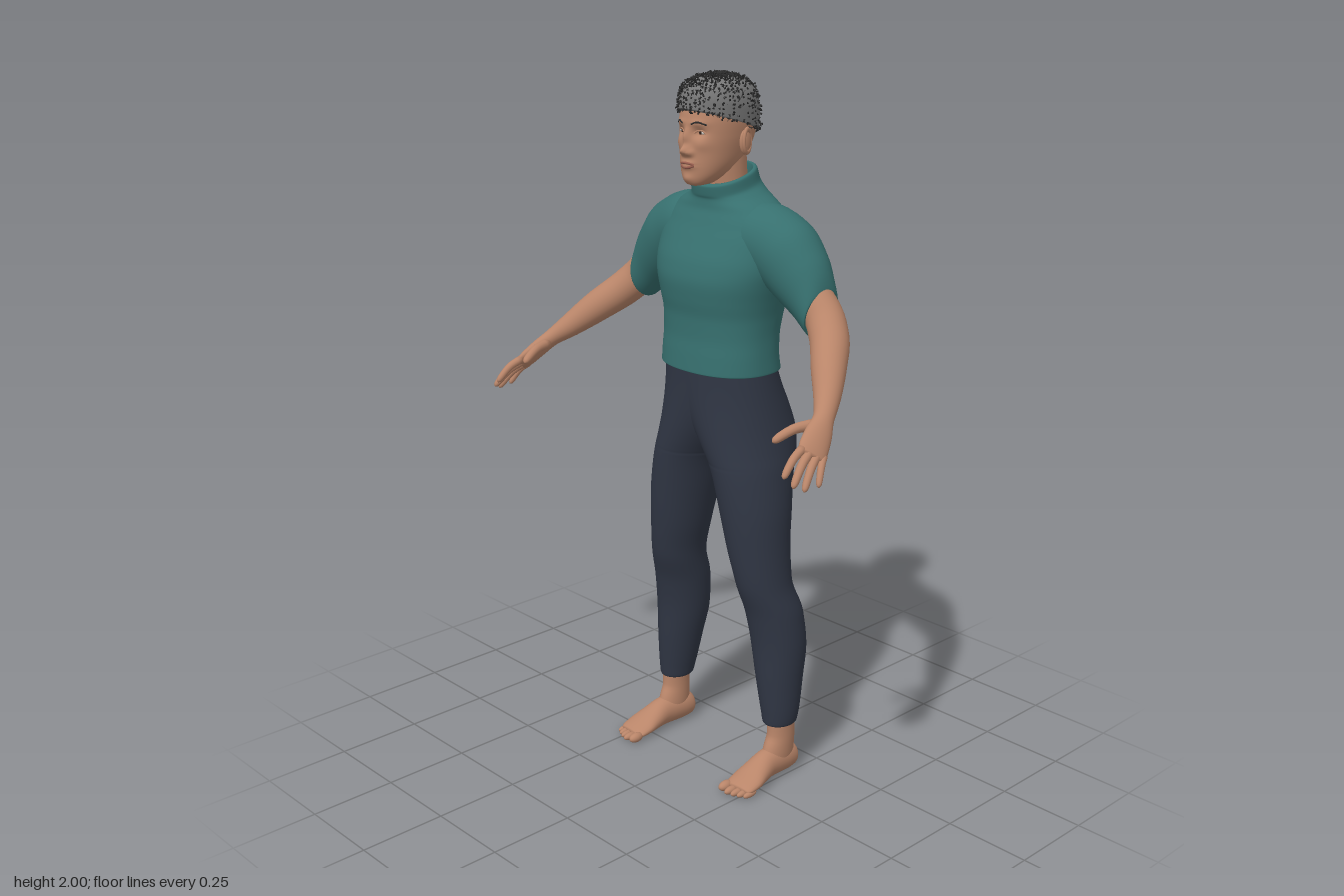
import * as THREE from 'three';
import { mergeGeometries, mergeVertices } from 'three/addons/utils/BufferGeometryUtils.js';

const V = (x, y, z) => new THREE.Vector3(x, y, z);
const paint = (name, color, side = THREE.FrontSide) => {
  const m = new THREE.MeshStandardMaterial({ color, side });
  m.name = name;
  return m;
};

// Smooth rows of numbers without overshoot, n steps per segment
function smooth(rows, n) {
  const slope = (i, k) => {
    if (i === 0 || i === rows.length - 1) return i ? rows[i][k] - rows[i - 1][k] : rows[1][k] - rows[0][k];
    const a = rows[i][k] - rows[i - 1][k], b = rows[i + 1][k] - rows[i][k];
    return a * b > 0 ? 2 * a * b / (a + b) : 0;
  };
  const out = [];
  for (let i = 0; i < rows.length - 1; i++) {
    for (let s = 0; s < n; s++) {
      const t = s / n, t2 = t * t, t3 = t2 * t;
      out.push(rows[i].map((p, k) => (2 * t3 - 3 * t2 + 1) * p + (t3 - 2 * t2 + t) * slope(i, k)
        + (3 * t2 - 2 * t3) * rows[i + 1][k] + (t3 - t2) * slope(i + 1, k)));
    }
  }
  out.push(rows[rows.length - 1]);
  return out;
}

// Weld and smooth a surface
function weld(g) {
  g = mergeVertices(g, 1e-5);
  g.computeVertexNormals();
  return g;
}

// Skin a list of rings, optionally closing both ends
function skinRings(rings, cap = false) {
  if (cap) {
    const mid = (r) => {
      const c = r.slice(0, -1).reduce((s, p) => s.add(p), V(0, 0, 0)).divideScalar(r.length - 1);
      return r.map(() => c);
    };
    rings = [mid(rings[0]), ...rings, mid(rings[rings.length - 1])];
  }
  const w = rings[0].length, index = [];
  for (let r = 0; r < rings.length - 1; r++) {
    for (let j = 0; j < w - 1; j++) {
      const a = r * w + j, b = a + w;
      index.push(a, b, a + 1, b, b + 1, a + 1);
    }
  }
  const g = new THREE.BufferGeometry().setFromPoints(rings.flat());
  g.setIndex(index);
  return weld(g);
}

// Level rings from the bottom up: [y, outer x, inner x, front z, back z, tilt]; half stops at x = 0
function loft(rows, { sides = 48, steps = 5, power = 1, half = false, cap = false } = {}) {
  const pw = (v) => Math.sign(v) * Math.abs(v) ** power;
  return skinRings(smooth(rows, steps).map(([y, xo, xi, zf, zb, tilt = 0]) => {
    const cx = (xo + xi) / 2, hw = (xo - xi) / 2, cz = (zf + zb) / 2, hz = (zf - zb) / 2;
    const end = half ? Math.acos(Math.max(-1, -cx / hw)) : Math.PI;
    return Array.from({ length: sides + 1 }, (_, j) => {
      const t = end * (2 * j / sides - 1), dz = hz * pw(Math.sin(t));
      const x = cx + hw * pw(Math.cos(t));
      return V(half && Math.abs(x) < 1e-6 ? 0 : x, y + tilt * dz, cz + dz);
    });
  }), cap);
}
const even = (rows) => rows.map(([y, w, ...rest]) => [y, w, -w, ...rest]);

// Tapering limb: [x, y, z, radius along the side vector, other radius]
function limb(rows, side = V(1, 0, 0), sides = 20, steps = 4) {
  const pts = smooth(rows, steps), at = (i) => V(...pts[Math.min(Math.max(i, 0), pts.length - 1)].slice(0, 3));
  return skinRings(pts.map((p, i) => {
    const t = at(i + 1).sub(at(i - 1)).normalize();
    const u = side.clone().addScaledVector(t, -t.dot(side)).normalize(), v = u.clone().cross(t);
    return Array.from({ length: sides + 1 }, (_, j) => {
      const f = 2 * Math.PI * j / sides;
      return at(i).addScaledVector(u, p[3] * Math.cos(f)).addScaledVector(v, p[4] * Math.sin(f));
    });
  }), true);
}

function mirror(g) {
  const m = g.clone().scale(-1, 1, 1), a = m.index.array;
  for (let i = 0; i < a.length; i += 3) [a[i], a[i + 1]] = [a[i + 1], a[i]];
  m.computeVertexNormals();
  return m;
}

function deform(g, rule) {
  const p = g.attributes.position;
  for (let i = 0; i < p.count; i++) p.setZ(i, rule(p.getX(i), p.getY(i), p.getZ(i)));
  g.computeVertexNormals();
  return g;
}
const bell = (x, y, sx, sy) => Math.exp(-((x / sx) ** 2) - (y / sy) ** 2);

export function createModel() {
  const model = new THREE.Group();
  const skin = paint('skin', 0xb98569);
  const shirt = paint('teal shirt', 0x37706f, THREE.DoubleSide);
  const cloth = paint('navy trousers', 0x303644, THREE.DoubleSide);
  const scalp = paint('grey hair', 0x777777, THREE.DoubleSide), curl = paint('dark hair', 0x2b2b2b);
  const white = paint('eye white', 0xc9c2ba), iris = paint('iris', 0x2a1d17), lip = paint('lips', 0x9a5f50);
  const add = (name, g, m) => {
    const mesh = new THREE.Mesh(g, m);
    mesh.name = name;
    model.add(mesh);
    return mesh;
  };
  const pair = (name, g, m) => { add('left' + name, g, m); add('right' + name, mirror(g), m); };
  const ball = (x, y, z, a, b, c) => new THREE.SphereGeometry(1, 20, 14).scale(a, b, c).translate(x, y, z);

  // Trousers: one half, mirrored and welded along the middle
  const leg = loft([
    [0.16, 0.255, 0.184, -0.078, -0.163], [0.165, 0.264, 0.174, -0.067, -0.171], [0.2, 0.27, 0.165, -0.063, -0.18],
    [0.3, 0.275, 0.143, -0.055, -0.196], [0.4, 0.279, 0.122, -0.05, -0.21], [0.5, 0.272, 0.11, -0.035, -0.203],
    [0.6, 0.251, 0.1, -0.005, -0.175], [0.7, 0.243, 0.075, 0.01, -0.18], [0.8, 0.238, 0.05, 0.02, -0.195],
    [0.9, 0.225, 0.02, 0.027, -0.22], [0.94, 0.219, 0, 0.029, -0.238], [0.98, 0.211, -0.03, 0.031, -0.257],
    [1.03, 0.202, -0.07, 0.033, -0.266], [1.09, 0.192, -0.115, 0.035, -0.255],
    [1.15, 0.183, -0.15, 0.037, -0.235], [1.22, 0.174, -0.174, 0.04, -0.213],
  ], { half: true, steps: 6 });
  add('trousers', weld(mergeGeometries([leg, mirror(leg)])), cloth);

  // Shirt body with turned collar and a shallow spine groove
  const body = loft(even([
    [1.2, 0.172, 0.038, -0.212, 0], [1.204, 0.181, 0.046, -0.222, 0], [1.25, 0.178, 0.043, -0.216, 0],
    [1.3, 0.176, 0.039, -0.219, 0], [1.35, 0.179, 0.04, -0.23, 0], [1.4, 0.188, 0.048, -0.242, 0],
    [1.45, 0.2, 0.053, -0.249, 0], [1.5, 0.21, 0.044, -0.252, 0], [1.56, 0.212, 0.018, -0.247, 0],
    [1.61, 0.197, -0.006, -0.234, 0], [1.65, 0.16, -0.02, -0.216, -0.05], [1.68, 0.112, -0.022, -0.2, -0.15],
    [1.7, 0.092, -0.018, -0.19, -0.25], [1.728, 0.088, -0.014, -0.178, -0.32],
    [1.733, 0.08, -0.024, -0.168, -0.32], [1.69, 0.074, -0.03, -0.163, -0.3],
  ]), { power: 0.88, sides: 64 });
  add('shirt', deform(body, (x, y, z) => z + (z < -0.15 ? 0.018 * bell(x, y - 1.45, 0.035, 0.15) : 0)), shirt);

  // Sleeves: [x, y, z, height radius, depth radius, tilt]
  const sleeve = skinRings(smooth([
    [0.06, 1.57, -0.115, 0.09, 0.085, 0], [0.14, 1.565, -0.12, 0.1, 0.1, 0.2], [0.21, 1.535, -0.125, 0.1, 0.096, 0.55],
    [0.265, 1.485, -0.125, 0.09, 0.085, 0.65], [0.31, 1.44, -0.123, 0.077, 0.071, 0.5],
    [0.342, 1.397, -0.121, 0.067, 0.063, 0.25], [0.34, 1.398, -0.121, 0.06, 0.056, 0.25], [0.31, 1.43, -0.121, 0.056, 0.052, 0.4],
  ], 5).map(([x, y, z, a, b, tilt]) => Array.from({ length: 33 }, (_, j) => {
    const f = 2 * Math.PI * j / 32, h = a * Math.cos(f);
    return V(x + h * Math.sin(tilt), y + h * Math.cos(tilt), z - b * Math.sin(f));
  })));
  pair('Sleeve', sleeve, shirt);

  // Arms and palms
  const across = V(0.03, -0.03, -0.065);
  pair('Arm', limb([
    [0.29, 1.46, -0.122, 0.05, 0.05], [0.35, 1.4, -0.117, 0.053, 0.053], [0.4, 1.35, -0.09, 0.053, 0.051],
    [0.455, 1.295, -0.03, 0.047, 0.046], [0.51, 1.235, 0.035, 0.035, 0.034], [0.541, 1.2, 0.08, 0.028, 0.024],
    [0.558, 1.172, 0.115, 0.037, 0.021], [0.573, 1.143, 0.15, 0.041, 0.017], [0.582, 1.128, 0.168, 0.036, 0.011],
  ], across, 28), skin);

  // Fingers: base, tip, radius
  [
    [V(0.563, 1.148, 0.18), V(0.575, 1.092, 0.258), 0.011], [V(0.574, 1.138, 0.166), V(0.6, 1.072, 0.25), 0.0115],
    [V(0.584, 1.128, 0.15), V(0.614, 1.06, 0.225), 0.011], [V(0.59, 1.122, 0.132), V(0.62, 1.062, 0.18), 0.0095],
    [V(0.533, 1.188, 0.105), V(0.497, 1.158, 0.217), 0.0135],
  ].forEach(([a, b, r], i) => {
    const rows = [[0, 1.1], [0.4, 1], [0.6, 0.95], [0.85, 0.85], [0.96, 0.6], [1, 0.15]].map(([t, k]) => {
      const p = a.clone().lerp(b, t);
      return [p.x, p.y + 0.01 * Math.sin(Math.PI * t), p.z, r * k, r * k];
    });
    pair(i === 4 ? 'Thumb' : 'Finger' + (i + 1), limb(rows, across, 12, 3), skin);
  });

  // Ankles, feet and toes
  pair('Ankle', limb([[0.223, 0.2, -0.12, 0.036, 0.045], [0.224, 0.13, -0.12, 0.034, 0.046],
    [0.223, 0.08, -0.112, 0.034, 0.055], [0.222, 0.04, -0.105, 0.032, 0.06]], V(1, 0, 0), 24), skin);
  pair('Foot', limb([
    [0.22, 0.034, -0.18, 0.012, 0.014], [0.22, 0.036, -0.168, 0.03, 0.033], [0.221, 0.045, -0.13, 0.036, 0.045],
    [0.223, 0.046, -0.07, 0.036, 0.044], [0.226, 0.036, -0.02, 0.043, 0.034], [0.229, 0.025, 0.02, 0.05, 0.023],
    [0.23, 0.018, 0.05, 0.048, 0.016], [0.231, 0.015, 0.066, 0.04, 0.009],
  ], V(1, 0, 0), 28), skin);
  [[0.194, 0.074, 0.0145], [0.218, 0.076, 0.011], [0.237, 0.07, 0.01], [0.254, 0.062, 0.0095], [0.27, 0.052, 0.009]]
    .forEach(([x, z, r], i) => pair('Toe' + (i + 1), ball(x, r, z, r, r, 0.025), skin));

  // Neck and head, with the face pushed in and out by soft bumps
  add('neck', limb([[0, 1.64, -0.105, 0.07, 0.066], [0, 1.72, -0.094, 0.067, 0.066], [0, 1.82, -0.085, 0.066, 0.07]]), skin);
  const bumps = [
    [0, 1.803, 0.012, 0.013, 0.022], [0, 1.838, 0.009, 0.022, 0.013], [0.015, 1.797, 0.008, 0.008, 0.009],
    [0.034, 1.85, 0.017, 0.012, -0.011], [0.03, 1.875, 0.025, 0.008, 0.004], [0, 1.766, 0.022, 0.01, 0.01],
    [0, 1.766, 0.022, 0.0028, -0.005], [0, 1.728, 0.018, 0.012, 0.005], [0.045, 1.82, 0.018, 0.015, 0.004],
  ];
  const headShape = loft(even([
    [1.708, 0.012, 0.018, -0.015], [1.714, 0.032, 0.031, -0.04], [1.735, 0.053, 0.038, -0.085], [1.765, 0.068, 0.04, -0.135],
    [1.8, 0.077, 0.04, -0.165], [1.84, 0.084, 0.039, -0.183], [1.88, 0.087, 0.037, -0.191], [1.92, 0.084, 0.028, -0.188],
    [1.95, 0.073, 0.008, -0.172], [1.973, 0.045, -0.03, -0.13], [1.98, 0.002, -0.08, -0.084],
  ]), { sides: 96, steps: 10, power: 0.92, cap: true });
  const head = add('head', deform(headShape, (x, y, z) => z < -0.03 ? z : bumps.reduce((s, [bx, by, sx, sy, k]) =>
    s + k * bell(Math.abs(x) - bx, y - by, sx, sy), z)), skin);
  const ray = new THREE.Raycaster();
  const onFace = (x, y, lift = 0) => {
    ray.set(V(x, y, 1), V(0, 0, -1));
    return V(x, y, ray.intersectObject(head)[0].point.z + lift);
  };

  // Eyes, brows, lips and ears
  const strip = (pts, r) => new THREE.TubeGeometry(new THREE.CatmullRomCurve3(pts), 20, r, 8);
  const eye = onFace(0.034, 1.85);
  pair('Eye', ball(0.034, 1.85, eye.z - 0.002, 0.0125, 0.0048, 0.005), white);
  pair('Iris', ball(0.034, 1.85, eye.z + 0.001, 0.005, 0.0044, 0.0035), iris);
  pair('Eyelid', strip([[0.02, 1.849], [0.028, 1.855], [0.04, 1.8555], [0.049, 1.849]].map(([x, y]) => onFace(x, y, 0.001)), 0.0022), skin);
  pair('Brow', strip([[0.015, 1.872], [0.032, 1.878], [0.053, 1.871]].map(([x, y]) => onFace(x, y, -0.0012)), 0.0028), curl);
  const mouth = (y, dip) => [-0.024, -0.012, 0, 0.012, 0.024].map((x) => onFace(x, y + dip * (1 - (x / 0.024) ** 2), -0.002));
  add('upperLip', strip(mouth(1.767, 0.004), 0.0036), lip);
  add('lowerLip', strip(mouth(1.765, -0.006), 0.0042), lip);
  pair('Ear', ball(0.089, 1.822, -0.088, 0.009, 0.033, 0.02).rotateY(0), skin);
  pair('EarRim', new THREE.TorusGeometry(0.02, 0.005, 8, 24).scale(0.9, 1.5, 1).rotateY(Math.PI / 2 + 0.3)
    .translate(0.094, 1.825, -0.09), skin);

  // Hair: cropped cap covered with seeded curls
  const cap = loft(even([
    [1.872, 0.084, 0.032, -0.187, 0.3], [1.876, 0.089, 0.038, -0.194, 0.3], [1.91, 0.09, 0.036, -0.196, 0.22],
    [1.945, 0.084, 0.028, -0.189, 0.12], [1.972, 0.067, 0.008, -0.165, 0.05], [1.987, 0.038, -0.03, -0.125, 0],
    [1.991, 0.002, -0.08, -0.084, 0],
  ]), { power: 0.92, steps: 6 });
  add('hairCap', cap, scalp);
  let seed = 7;
  const rnd = () => (seed = (seed * 16807) % 2147483647) / 2147483647;
  const p = cap.attributes.position, n = cap.attributes.normal, curls = [];
  while (curls.length < 1500) {
    const i = Math.floor(rnd() * p.count), y = p.getY(i);
    if (rnd() > 0.4 + (y - 1.86) * 5) continue;
    const at = V(p.getX(i), y, p.getZ(i)).addScaledVector(V(n.getX(i), n.getY(i), n.getZ(i)), rnd() * 0.005);
    at.add(V(rnd() - 0.5, rnd() - 0.5, rnd() - 0.5).multiplyScalar(0.007));
    curls.push(new THREE.TetrahedronGeometry(0.0045).rotateX(rnd() * 6).rotateY(rnd() * 6).translate(at.x, at.y, at.z));
  }
  add('curls', mergeGeometries(curls), curl);
  return model;
}
